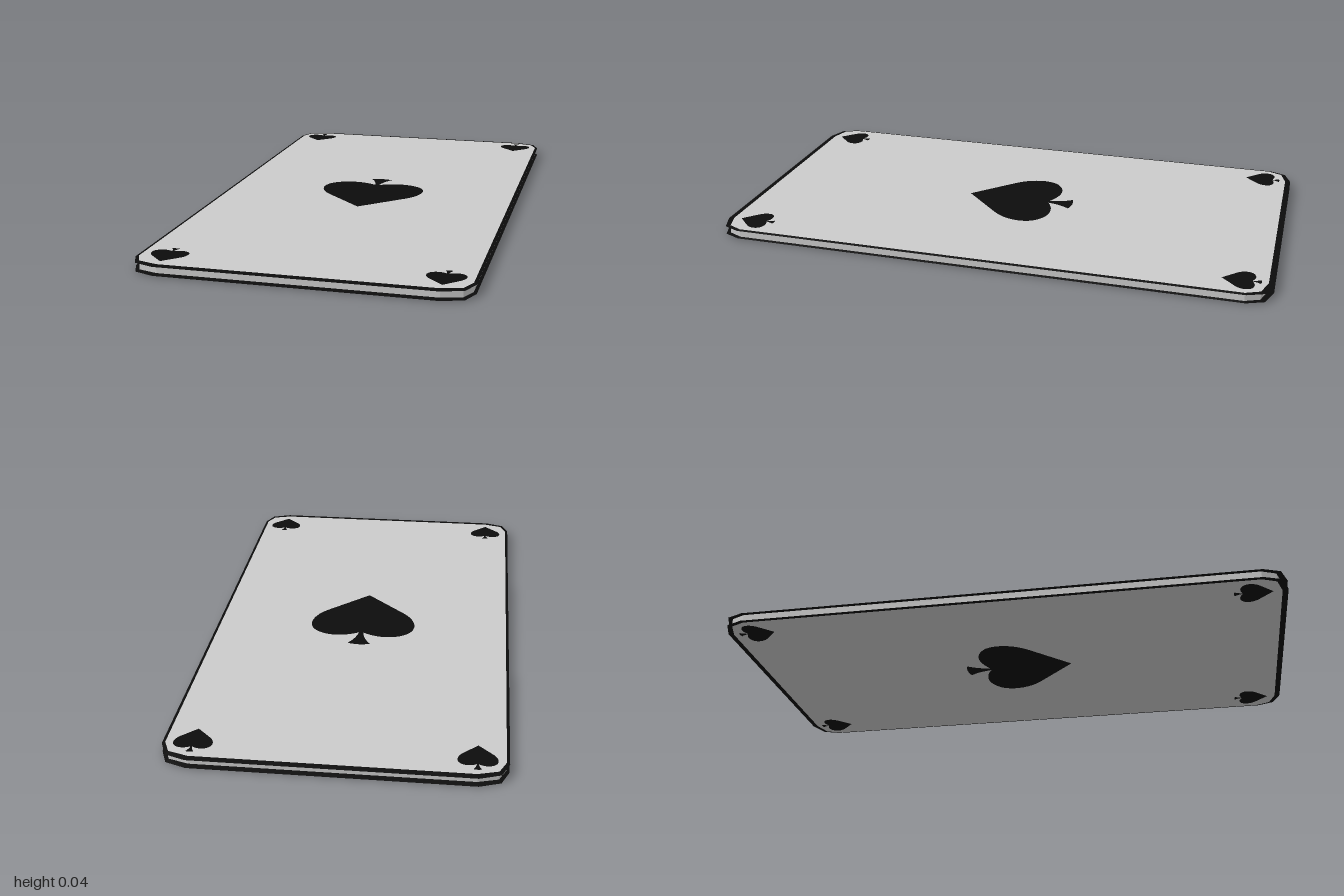
import * as THREE from 'three';

const grey = new THREE.MeshStandardMaterial({ color: 0xcccccc, flatShading: true });
const black = new THREE.MeshStandardMaterial({ color: 0x0c0c0c, flatShading: true });
const THICK = 0.036;

// Card outline [x, z] running round all four clipped corners
function outline(corner) {
  const rev = [...corner].reverse();
  return [
    ...corner,
    ...rev.map(([x, z]) => [-x, z]),
    ...corner.map(([x, z]) => [-x, -z]),
    ...rev.map(([x, z]) => [x, -z]),
  ];
}
const inner = outline([[0.545, 0.91], [0.522, 0.96], [0.455, 0.98]]);
const outer = outline([[0.555, 0.915], [0.53, 0.975], [0.46, 1.0]]);

// Pip with its stem towards +y of the shape
function pipShape() {
  const s = new THREE.Shape();
  s.moveTo(0, -0.2);
  s.lineTo(0.15, -0.055);
  s.bezierCurveTo(0.205, 0.0, 0.21, 0.075, 0.175, 0.11);
  s.bezierCurveTo(0.13, 0.155, 0.06, 0.15, 0.008, 0.115);
  s.quadraticCurveTo(0.015, 0.165, 0.042, 0.2);
  s.quadraticCurveTo(0, 0.215, -0.042, 0.2);
  s.quadraticCurveTo(-0.015, 0.165, -0.008, 0.115);
  s.bezierCurveTo(-0.06, 0.15, -0.13, 0.155, -0.175, 0.11);
  s.bezierCurveTo(-0.21, 0.075, -0.205, 0.0, -0.15, -0.055);
  s.closePath();
  return s;
}

// Border rim: a thin wedge section swept round the card edge
function rimGeometry() {
  const half = THICK / 2;
  const rings = [[inner, half], [outer, half - 0.003], [inner, half - 0.006]];
  const n = inner.length;
  const pos = rings.flatMap(([pts, y]) => pts.flatMap(([x, z]) => [x, y, z]));
  const idx = [];
  for (let r = 0; r < 2; r++) {
    for (let i = 0; i < n; i++) {
      const j = (i + 1) % n;
      const a = r * n + i, b = r * n + j, c = a + n, d = b + n;
      idx.push(a, b, c, b, d, c);
    }
  }
  const g = new THREE.BufferGeometry();
  g.setAttribute('position', new THREE.Float32BufferAttribute(pos, 3));
  g.setIndex(idx);
  g.computeVertexNormals();
  return g;
}

export function createModel() {
  const model = new THREE.Group();
  model.name = 'card';

  // Card slab
  const slab = new THREE.Shape(inner.map(([x, z]) => new THREE.Vector2(x, z)));
  const slabGeo = new THREE.ExtrudeGeometry(slab, { depth: THICK - 0.002, bevelEnabled: false });
  slabGeo.rotateX(-Math.PI / 2).translate(0, 0.001, 0);
  const body = new THREE.Mesh(slabGeo, grey);
  body.name = 'cardBody';
  model.add(body);

  // Rim and pips, made once for each face
  const rim = rimGeometry();
  rim.computeBoundingBox();
  const pip = new THREE.ShapeGeometry(pipShape(), 10).rotateX(-Math.PI / 2);
  const rimMat = black.clone();
  rimMat.side = THREE.DoubleSide;
  for (const side of ['top', 'bottom']) {
    const face = new THREE.Group();
    face.name = side + 'Face';
    face.position.y = THICK / 2;
    if (side === 'bottom') face.rotation.z = Math.PI;

    const border = new THREE.Mesh(rim, rimMat);
    border.name = side + 'Border';
    face.add(border);

    const addPip = (name, x, z, size) => {
      const m = new THREE.Mesh(pip, black);
      m.name = name;
      m.position.set(x, THICK / 2, z);
      m.scale.set(size, 1, size);
      face.add(m);
    };
    addPip('centrePip', 0, 0, 1);
    for (const x of [-0.455, 0.455]) {
      for (const z of [-0.89, 0.885]) addPip('cornerPip', x, z, 0.325);
    }
    model.add(face);
  }
  return model;
}
